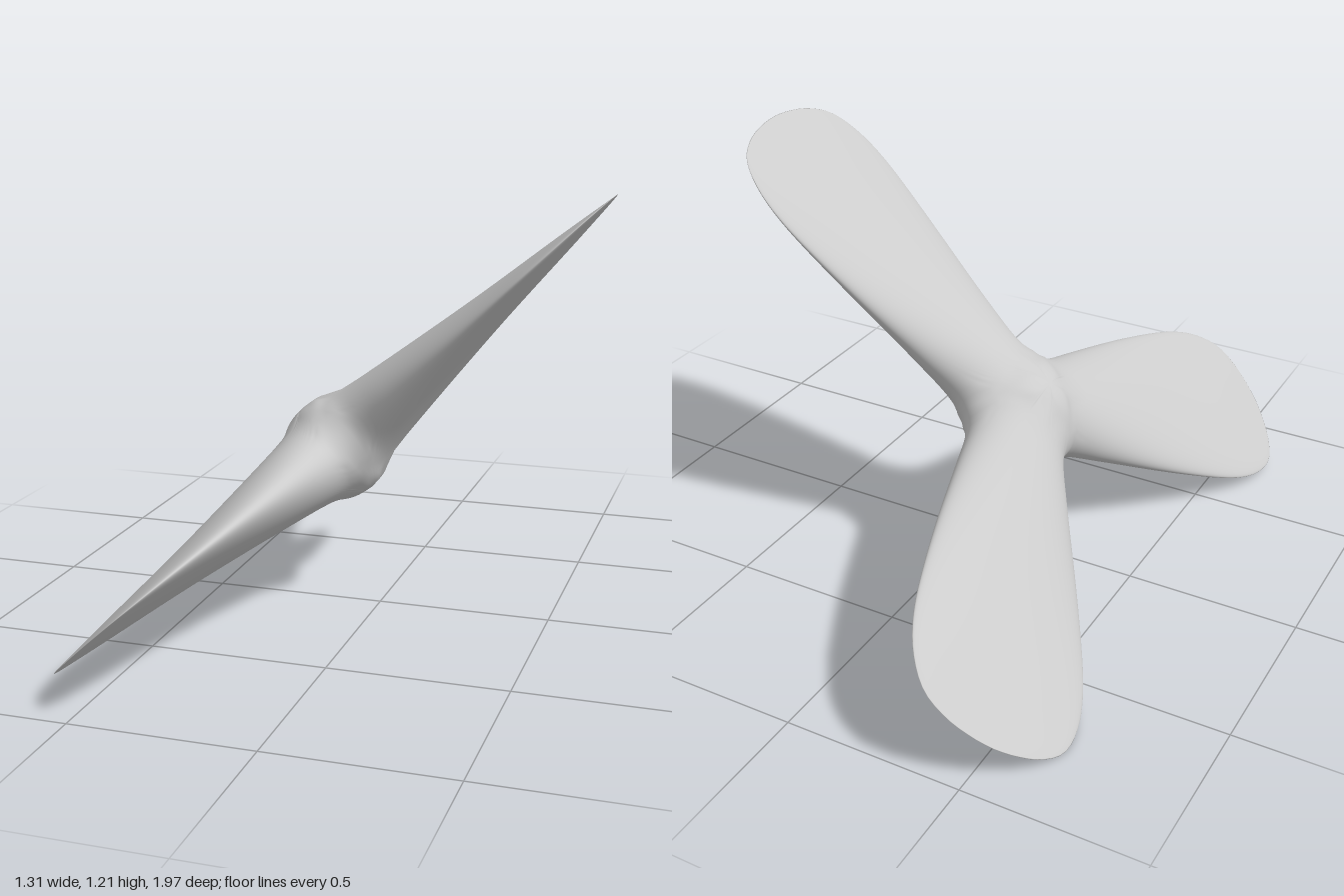
import * as THREE from 'three';
import { mergeVertices } from 'three/addons/utils/BufferGeometryUtils.js';

const v2 = (p) => new THREE.Vector2(p[0], p[1]);

// Half outline of one blade: [distance along blade, half width], hub notch to tip
const outline = new THREE.SplineCurve([
  [0.096, 0.166], [0.13, 0.15], [0.19, 0.157], [0.28, 0.178], [0.5, 0.225], [0.7, 0.257],
  [0.83, 0.266], [0.93, 0.252], [1.01, 0.212], [1.055, 0.14], [1.075, 0.06], [1.08, 0],
].map(v2)).getSpacedPoints(44);

// Half thickness along the blade, rising into the hub
const thickness = new THREE.SplineCurve([
  [0, 0.152], [0.05, 0.145], [0.11, 0.119], [0.27, 0.094], [0.6, 0.052], [0.9, 0.021], [1.08, 0],
].map(v2)).getPoints(120);

// Linear lookup in a list of points sorted by x
function lookup(points, x) {
  if (x <= points[0].x) return points[0].y;
  for (let i = 1; i < points.length; i++) {
    const a = points[i - 1], b = points[i];
    if (x <= b.x) return a.y + (b.y - a.y) * (x - a.x) / Math.max(b.x - a.x, 1e-6);
  }
  return points[points.length - 1].y;
}

function propellerGeometry(blades = 3, rows = 56) {
  // Rim of one blade, from its right notch round the tip to its left notch
  const rim = [
    ...outline.map((p) => [p.x, -p.y]),
    ...outline.slice(1, -1).reverse().map((p) => [p.x, p.y]),
  ];
  const cols = rim.length * blades;
  const positions = [], index = [];

  // Rings run from the top of the hub, over the rim, to the underside of the hub
  for (let i = 0; i <= rows; i++) {
    const t = i === rows ? 0 : Math.sin(Math.PI * i / rows);
    const side = i * 2 === rows ? 0 : Math.sign(rows - 2 * i);
    for (let k = 0; k < blades; k++) {
      const a = 2 * Math.PI * k / blades, c = Math.cos(a), s = Math.sin(a);
      for (const [rimR, rimW] of rim) {
        const r = rimR * t, w = rimW * t;
        const q = Math.min(1, Math.abs(w) / Math.max(lookup(outline, r), 1e-4));
        const h = side * lookup(thickness, r) * Math.sqrt(1 - q * q);
        const cone = 0.025 * Math.hypot(r, w);
        positions.push(r * c - w * s, h + cone, r * s + w * c);
      }
    }
  }
  for (let i = 0; i < rows; i++) {
    for (let j = 0; j < cols; j++) {
      const n = (j + 1) % cols;
      const a = i * cols + j, b = i * cols + n, c = a + cols, d = b + cols;
      if (i > 0) index.push(a, b, d);
      if (i < rows - 1) index.push(a, d, c);
    }
  }
  let g = new THREE.BufferGeometry();
  g.setAttribute('position', new THREE.Float32BufferAttribute(positions, 3));
  g.setIndex(index);
  g = mergeVertices(g, 1e-5);
  g.computeVertexNormals();
  return g;
}

export function createModel() {
  const model = new THREE.Group();
  model.name = 'propeller';
  const material = new THREE.MeshStandardMaterial({ color: 0xcccccc, side: THREE.DoubleSide });

  // Hub and blades flow together as one smooth skin
  const body = new THREE.Mesh(propellerGeometry(), material);
  body.name = 'bladesAndHub';
  body.rotation.y = 0.02;

  // Tilt the disc of the propeller
  const tilt = new THREE.Group();
  tilt.name = 'tiltedPropeller';
  tilt.rotation.z = 0.745;
  tilt.position.set(-0.13, 0.45, -0.01);
  tilt.add(body);
  model.add(tilt);
  return model;
}
